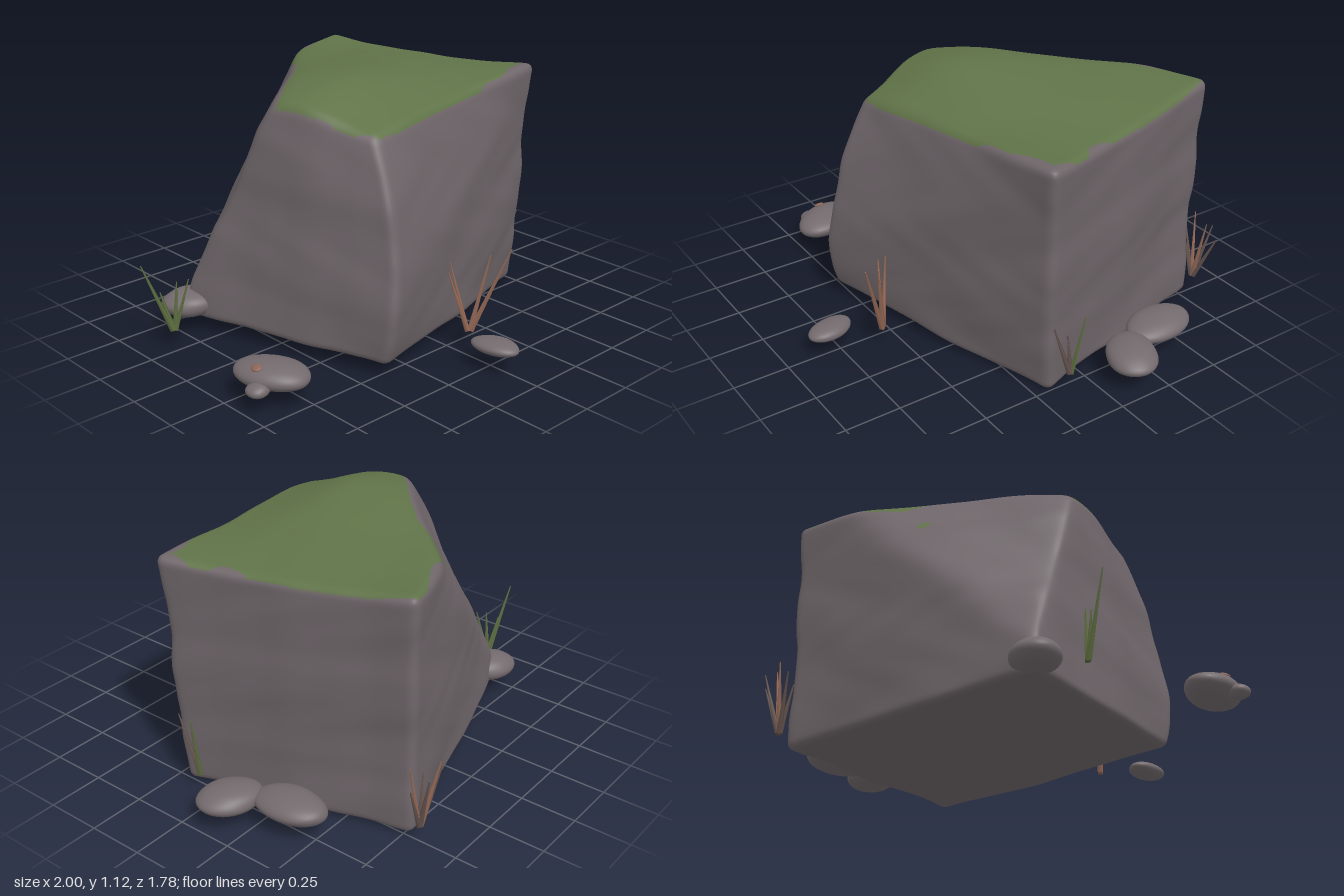
import * as THREE from 'three';
import { mergeVertices } from 'three/addons/utils/BufferGeometryUtils.js';

const V = (x, y, z) => new THREE.Vector3(x, y, z);
const material = (name, color, side = THREE.FrontSide) => {
  const m = new THREE.MeshStandardMaterial({ color, side });
  m.name = name;
  return m;
};

// Gentle, repeatable surface waves
const wave = (p, f) =>
  Math.sin(p.x * f + 1.3 * Math.sin(p.y * f * 0.8)) * Math.sin(p.y * f * 1.2 + p.z * f * 0.5 + 0.7) +
  0.5 * Math.sin(p.z * f * 1.5 + p.x * f * 0.6 + 2.1);

// Weld a geometry and move every vertex by a rule, with smooth normals after
function reshape(geometry, rule) {
  geometry.deleteAttribute('uv');
  geometry.deleteAttribute('normal');
  const g = mergeVertices(geometry, 1e-4);
  const pos = g.attributes.position;
  const p = V(0, 0, 0);
  for (let i = 0; i < pos.count; i++) {
    rule(p.fromBufferAttribute(pos, i));
    pos.setXYZ(i, p.x, p.y, p.z);
  }
  g.computeVertexNormals();
  return g;
}

// Boulder corners: back left, back right, front left, front right (x order)
const BOTTOM = [V(-0.71, 0.055, -0.42), V(0.49, 0.0, -0.79), V(-0.41, 0.045, 0.55), V(0.765, -0.01, 0.2)];
const TOP = [V(-0.65, 0.97, -0.45), V(0.52, 1.07, -0.8), V(-0.34, 0.955, 0.41), V(0.82, 1.05, 0.24)];
const blend = (c, s, t) => c[0].clone().lerp(c[1], s).lerp(c[2].clone().lerp(c[3], s), t);

// Sloping break across the back left corner
const breakPlane = new THREE.Plane().setFromCoplanarPoints(
  V(0.15, 1.06, -0.63), V(-0.72, 0.1, -0.42), V(-0.56, 1.0, 0.0));
if (breakPlane.distanceToPoint(V(0, 0.5, 0)) > 0) breakPlane.negate();

function boulderRule(p) {
  // round the edges of the cube
  const core = p.clone().clampScalar(-0.93, 0.93);
  p.sub(core).normalize().multiplyScalar(0.07).add(core);
  const s = (p.x + 1) / 2, h = (p.y + 1) / 2, t = (p.z + 1) / 2;
  const side = 1 - p.y * p.y, along = 1 - p.z * p.z;
  p.copy(blend(BOTTOM, s, t).lerp(blend(TOP, s, t), h));
  // swelling of the front left edge, crown of the top and dip of its right rim
  p.z += 0.09 * side * t * (1 - s);
  const reach = p.z > 0 ? 0.3 : 0.6;
  p.y += 0.125 * h ** 4 * Math.exp(-(((p.x + 0.2) / 0.55) ** 2) - (p.z / reach) ** 2);
  p.y -= 0.03 * h ** 4 * s ** 5 * along;
  // soft cut along the break
  const d = breakPlane.distanceToPoint(p) - 0.012;
  p.addScaledVector(breakPlane.normal, -0.5 * (d + Math.sqrt(d * d + 0.002)));
  // weathering
  const w = 0.009 * wave(p, 7) + 0.002 * wave(p, 17);
  p.x += w * (s - 0.5) * 2;
  p.z += w * (t - 0.5) * 2;
  p.y += w * (h - 0.5);
}

// Plan outline of the moss patch (x, z)
const MOSS = [
  [0.5, -0.79], [0.3, -0.7], [0.1, -0.63], [0.02, -0.52], [-0.05, -0.38], [-0.2, -0.24], [-0.35, -0.14],
  [-0.5, -0.01], [-0.54, 0.05], [-0.45, 0.1], [-0.39, 0.28], [-0.31, 0.4], [-0.05, 0.42], [0.2, 0.36],
  [0.55, 0.26], [0.76, 0.21], [0.8, 0.06], [0.71, 0.0], [0.69, -0.2], [0.6, -0.55]];

function insideMoss(x, z) {
  let inside = false;
  MOSS.forEach(([ax, az], i) => {
    const [bx, bz] = MOSS[(i + 1) % MOSS.length];
    if ((az > z) !== (bz > z) && x < ax + ((z - az) / (bz - az)) * (bx - ax)) inside = !inside;
  });
  return inside;
}

export function createModel() {
  const root = new THREE.Group();
  root.name = 'mossyBoulder';
  const stone = material('stone', 0x6f666a);
  const moss = material('moss', 0x607348);
  const pebbleStone = material('pebbleStone', 0x736a6d);
  const rust = material('rust', 0x8f6656);
  const green = material('greenGrass', 0x5f7041, THREE.DoubleSide);
  const brown = material('dryGrass', 0x966a57, THREE.DoubleSide);
  const dark = material('darkGrass', 0x665550, THREE.DoubleSide);

  const add = (parent, name, geometry, mat) => {
    const mesh = new THREE.Mesh(geometry, mat);
    mesh.name = name;
    parent.add(mesh);
    return mesh;
  };

  // Boulder surface, divided into bare stone and moss
  const boulder = new THREE.Group();
  boulder.name = 'boulder';
  root.add(boulder);
  const shell = reshape(new THREE.BoxGeometry(2, 2, 2, 80, 80, 80), boulderRule);
  const { position, normal } = shell.attributes, index = shell.index.array;
  const bare = [], mossy = [];
  for (let i = 0; i < index.length; i += 3) {
    const tri = [index[i], index[i + 1], index[i + 2]];
    const mean = (attribute, get) => tri.reduce((sum, k) => sum + attribute[get](k), 0) / 3;
    const x = mean(position, 'getX'), y = mean(position, 'getY'), z = mean(position, 'getZ');
    const ragged = 0.008 * Math.sin(x * 31 + z * 23);
    const onTop = y > 0.9 && mean(normal, 'getY') > 0.45 && insideMoss(x + ragged, z + ragged);
    const backSpot = z < -0.3 && Math.hypot(x + 0.08, y - 0.91) < 0.02;
    (onTop || backSpot ? mossy : bare).push(...tri);
  }
  for (const [name, list, mat] of [['bareStone', bare, stone], ['mossTop', mossy, moss]]) {
    const part = shell.clone();
    part.setIndex(list);
    add(boulder, name, part, mat);
  }

  // Pebbles: centre, radii, turn
  const pebbles = [
    [V(0.76, 0.115, -0.38), V(0.108, 0.056, 0.165), 0.1],
    [V(0.87, 0.113, -0.145), V(0.14, 0.054, 0.108), -0.55],
    [V(-0.685, 0.115, -0.4), V(0.125, 0.06, 0.1), -0.35],
    [V(-0.845, 0.115, 0.365), V(0.11, 0.056, 0.155), 0.4],
    [V(-0.945, 0.09, 0.4), V(0.05, 0.03, 0.045), 0],
    [V(-0.015, 0.1, 0.785), V(0.066, 0.033, 0.105), 0.25]];
  pebbles.forEach(([centre, radii, turn], i) => {
    const g = reshape(new THREE.IcosahedronGeometry(1, 7), (p) => {
      p.multiplyScalar(1 + 0.045 * wave(p.clone().addScalar(i * 1.7), 2));
    });
    const pebble = add(root, 'pebble', g, pebbleStone);
    pebble.position.copy(centre);
    pebble.scale.copy(radii);
    pebble.rotation.y = turn;
  });

  // Rusty fleck on the left pebble
  const fleck = add(root, 'rustFleck', new THREE.SphereGeometry(1, 12, 8), rust);
  fleck.position.set(-0.92, 0.16, 0.36);
  fleck.scale.set(0.02, 0.008, 0.025);
  fleck.rotation.z = 0.4;

  // Grass clumps: base, blade colours taken in turn, blade tips
  const clumps = [
    [V(-0.85, 0.07, -0.29), [green],
      [V(-0.98, 0.39, -0.32), V(-0.835, 0.29, -0.28), V(-0.795, 0.3, -0.25), V(-0.9, 0.25, -0.31)]],
    [V(0.06, 0.07, 0.57), [brown],
      [V(0.17, 0.45, 0.7), V(0.13, 0.41, 0.62), V(0.0, 0.38, 0.51), V(-0.03, 0.35, 0.53)]],
    [V(0.5, 0.07, -0.825), [dark, brown, dark],
      [V(0.4, 0.31, -0.855), V(0.44, 0.36, -0.875), V(0.54, 0.33, -0.89), V(0.61, 0.3, -0.85),
        V(0.57, 0.37, -0.82), V(0.45, 0.28, -0.8)]],
    [V(0.78, 0.07, 0.1), [green, dark, dark],
      [V(0.84, 0.37, 0.08), V(0.79, 0.33, 0.2), V(0.79, 0.27, 0.13)]]];
  for (const [base, colours, tips] of clumps) {
    const clump = new THREE.Group();
    clump.name = 'grassClump';
    root.add(clump);
    tips.forEach((tip, i) => {
      const foot = base.clone().lerp(V(tip.x, base.y, tip.z), 0.06);
      const reach = tip.clone().sub(foot);
      const blade = new THREE.CylinderGeometry(0.003, 0.014, reach.length(), 4);
      const mesh = add(clump, 'blade', blade, colours[i % colours.length]);
      mesh.position.copy(foot).addScaledVector(reach, 0.5);
      mesh.quaternion.setFromUnitVectors(V(0, 1, 0), reach.normalize());
    });
  }
  return root;
}
